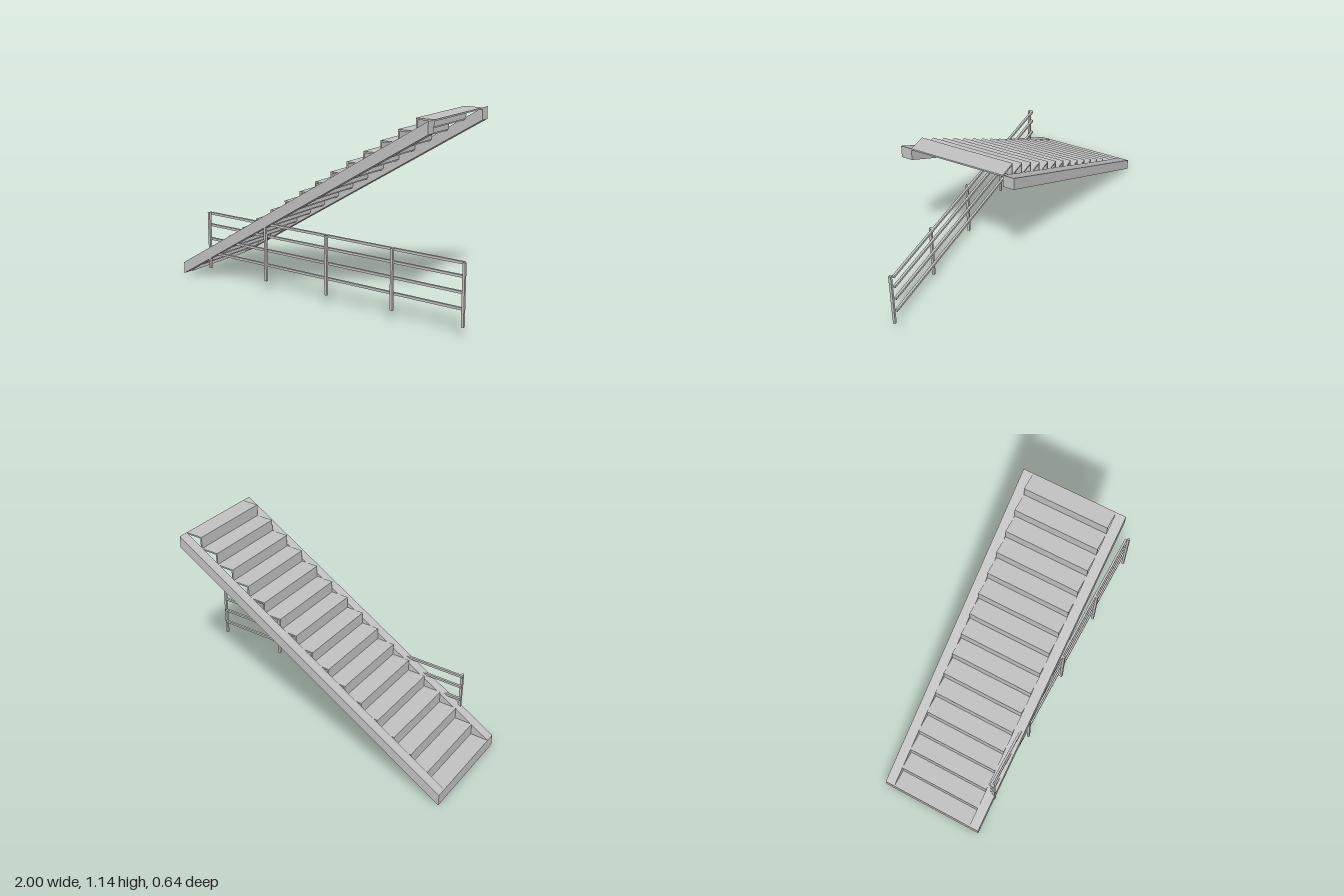
import * as THREE from 'three';

export function createModel() {
  const model = new THREE.Group();
  model.name = 'staircaseWithRailing';
  const steel = new THREE.MeshStandardMaterial({ color: 0xc0c0c0 });
  steel.name = 'light grey steel';

  // Box given by its minimum and maximum corners
  function box(name, parent, x0, x1, y0, y1, z0, z1) {
    const mesh = new THREE.Mesh(new THREE.BoxGeometry(x1 - x0, y1 - y0, z1 - z0), steel);
    mesh.position.set((x0 + x1) / 2, (y0 + y1) / 2, (z0 + z1) / 2);
    mesh.name = name;
    parent.add(mesh);
  }

  // Overall stair dimensions
  const steps = 16, left = -1, right = 0.765, top = 1.136;
  const run = (right - left) / steps, rise = top / steps;
  const inner = 0.26, outer = 0.32, plate = 0.009;

  // Sloping side beams with upright ends
  const profile = new THREE.Shape([
    new THREE.Vector2(left, 0),
    new THREE.Vector2(right, top - rise),
    new THREE.Vector2(right, top),
    new THREE.Vector2(left, rise),
  ]);
  const beam = new THREE.ExtrudeGeometry(profile, { depth: outer - inner, bevelEnabled: false });
  for (const [name, z] of [['frontStringer', inner], ['backStringer', -outer]]) {
    const mesh = new THREE.Mesh(beam, steel);
    mesh.position.z = z;
    mesh.name = name;
    model.add(mesh);
  }

  // Thin treads, each with a riser under its nose
  const flight = new THREE.Group();
  flight.name = 'steps';
  for (let i = 0; i < steps; i++) {
    const x = left + run * i, y = rise * (i + 1);
    box('tread', flight, x, x + run, y - plate, y, -inner, inner);
    box('riser', flight, x, x + plate, y - rise, y - plate, -inner, inner);
  }
  model.add(flight);

  // Level railing: posts outside, four rails fixed to their inner side
  const railing = new THREE.Group();
  railing.name = 'railing';
  const start = -0.785, spacing = 0.4425, postWidth = 0.015;
  for (let i = 0; i < 5; i++) {
    const x = start + spacing * i;
    box('post', railing, x, x + postWidth, 0.073, 0.426, 0.304, 0.319);
  }
  for (const y of [0.168, 0.258, 0.346, 0.419]) {
    box('rail', railing, start, 0.985, y - 0.007, y + 0.007, 0.29, 0.304);
  }
  model.add(railing);

  return model;
}
